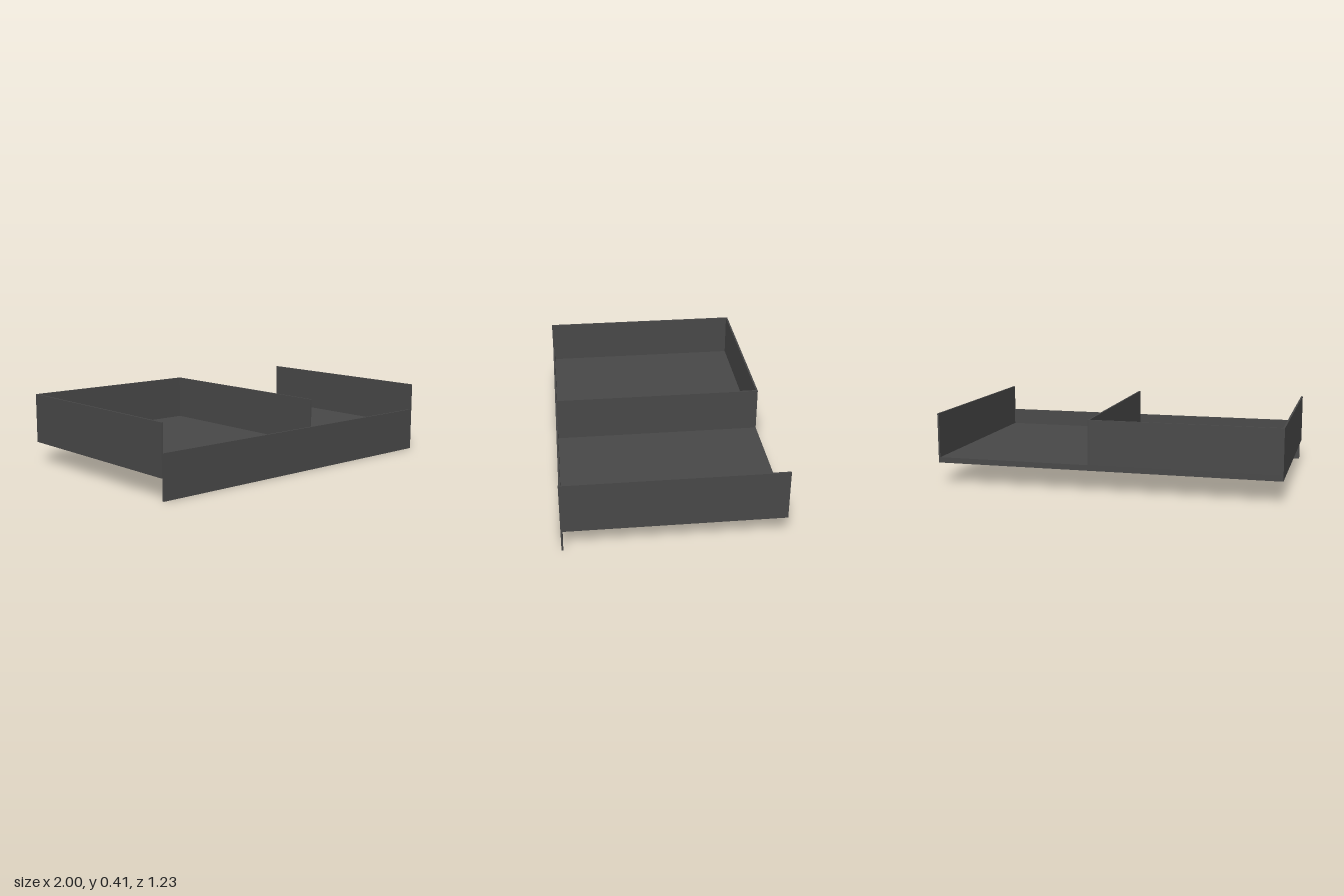
import * as THREE from 'three';

export function createModel() {
  const group = new THREE.Group();
  const charcoal = new THREE.MeshStandardMaterial({ color: 0x484848 });

  // Box panel given by its extents on each axis
  function panel(name, [x0, x1], [y0, y1], [z0, z1]) {
    const mesh = new THREE.Mesh(new THREE.BoxGeometry(x1 - x0, y1 - y0, z1 - z0), charcoal);
    mesh.name = name;
    mesh.position.set((x0 + x1) / 2, (y0 + y1) / 2, (z0 + z1) / 2);
    group.add(mesh);
  }

  const T = 0.01;       // wall thickness
  const D = 0.613;      // half depth
  const base = 0.123;   // underside of the floor
  const deck = 0.155;   // top of the floor
  const top = 0.413;    // top of the tall walls
  const split = 0.092;  // outer face of the divider

  // Floor slab between the side walls
  panel('floor', [-1 + T, 1 - T], [base, deck], [-D, D - T]);

  // Tall end walls; the left one stops behind the front panel's end
  panel('rightWall', [-1, -1 + T], [base, top], [-D, D]);
  panel('leftWall', [1 - T, 1], [base, top], [-D, D - T]);
  panel('leftWallFrontEdge', [1 - T, 1], [0.253, top], [D - T, D]);

  // Back wall and divider enclosing the tall compartment
  panel('backWall', [-1 + T, split - T], [deck, top], [-D, -D + T]);
  panel('divider', [split - T, split], [deck, top], [-D, D - T]);

  // Low front panel hanging below the floor
  panel('frontPanel', [-1 + T, 1], [0, 0.253], [D - T, D]);

  return group;
}
